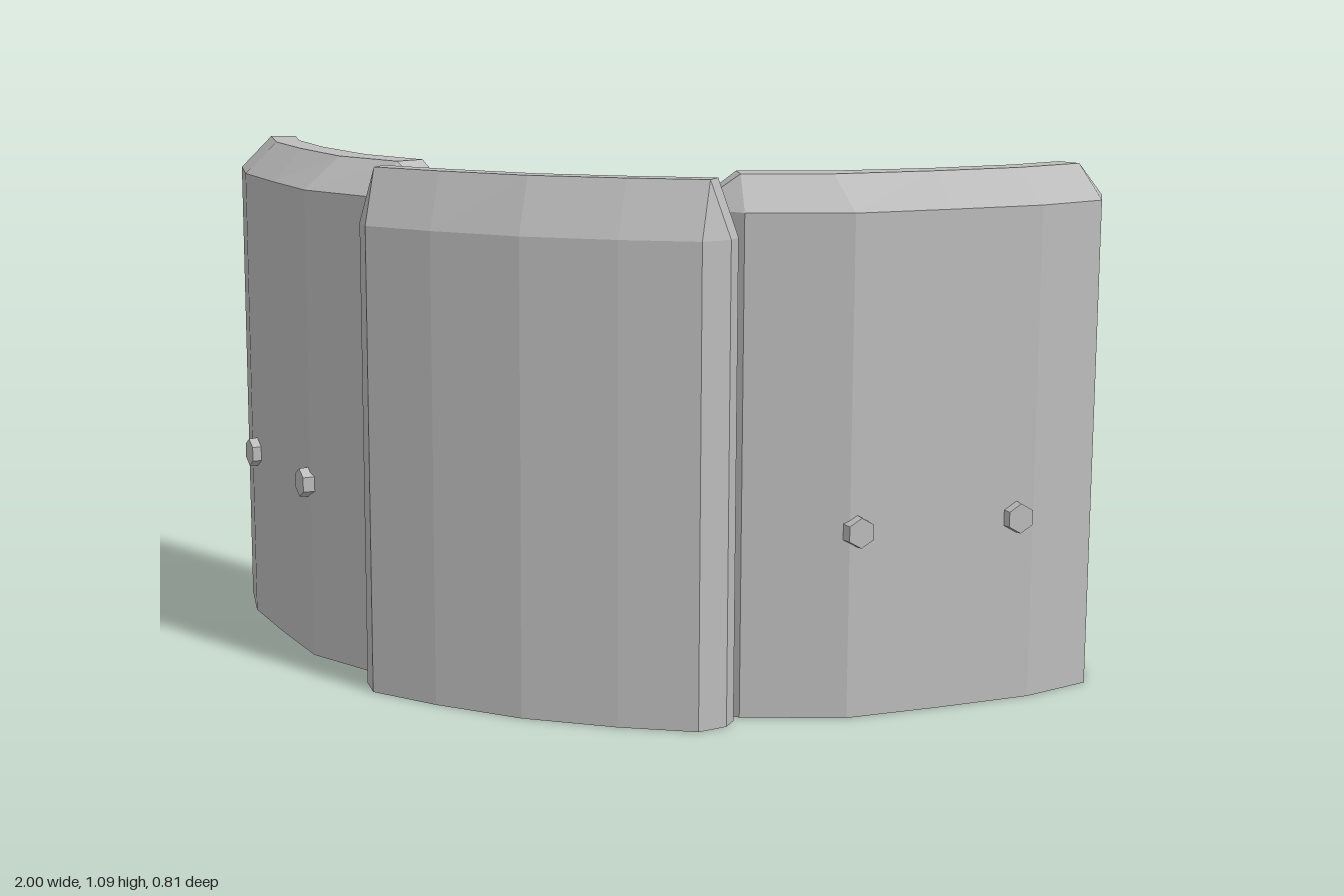
import * as THREE from 'three';

const grey = new THREE.MeshStandardMaterial({ color: 0xbcbcbc });
grey.name = 'plain grey';

// Mirror a ring of [x, z] points, keeping its winding
const mirrorRing = (ring) => ring.map(([x, z]) => [-x, z]).reverse();

// Complete a symmetric ring from its right half (first and last points on x = 0)
const fullRing = (half) => [...half, ...mirrorRing(half).slice(1, -1)];

// Flat-faced solid lofted through levels [{ y, ring }], bottom to top
function loft(levels) {
  const pos = [];
  const tri = (...pts) => {
    const [a, b, c] = pts.map((p) => new THREE.Vector3(...p));
    if (b.sub(a).cross(c.sub(a)).length() > 1e-9) pos.push(...pts.flat());
  };
  const at = ({ y, ring }, i) => {
    const [x, z] = ring[i % ring.length];
    return [x, y, z];
  };
  for (let k = 0; k < levels.length - 1; k++) {
    const low = levels[k], high = levels[k + 1];
    for (let i = 0; i < low.ring.length; i++) {
      tri(at(low, i), at(low, i + 1), at(high, i + 1));
      tri(at(low, i), at(high, i + 1), at(high, i));
    }
  }
  const cap = (level, up) => {
    const outline = level.ring.map(([x, z]) => new THREE.Vector2(x, -z));
    for (const [a, b, c] of THREE.ShapeUtils.triangulateShape(outline, [])) {
      if (up) tri(at(level, a), at(level, b), at(level, c));
      else tri(at(level, c), at(level, b), at(level, a));
    }
  };
  cap(levels[0], false);
  cap(levels[levels.length - 1], true);
  const geo = new THREE.BufferGeometry();
  geo.setAttribute('position', new THREE.Float32BufferAttribute(pos, 3));
  geo.computeVertexNormals();
  return geo;
}

function addMesh(parent, name, geo) {
  const mesh = new THREE.Mesh(geo, grey);
  mesh.name = name;
  parent.add(mesh);
  return mesh;
}

export function createModel() {
  const model = new THREE.Group();
  model.name = 'curvedArmourPlates';

  // Centre plate: front curve, chamfered end, back curve
  const body = fullRing([[0, 0.403], [0.2, 0.385], [0.36, 0.353], [0.4, 0.3],
    [0.4, 0.257], [0.2, 0.295], [0, 0.315]]);
  const crown = fullRing([[0, 0.36], [0.2, 0.34], [0.36, 0.31], [0.36, 0.31],
    [0.36, 0.265], [0.2, 0.295], [0, 0.315]]);
  addMesh(model, 'centrePlate', loft([
    { y: 0, ring: body }, { y: 0.975, ring: body }, { y: 1.09, ring: crown }]));

  // Side plates: outer curve, then inner curve back to the start
  const outer = [[0.28, 0.198], [0.404, 0.233], [0.605, 0.155], [0.76, 0.015],
    [0.91, -0.13], [1.0, -0.27], [0.98, -0.375]];
  const inner = [[0.94, -0.403], [0.826, -0.23], [0.69, -0.09], [0.516, 0.045], [0.26, 0.152]];
  const innerFoot = [[0.96, -0.385], [0.85, -0.205], [0.715, -0.065], [0.535, 0.075], [0.27, 0.178]];
  const top = [[0.375, 0.175], [0.375, 0.175], [0.545, 0.107], [0.71, -0.03],
    [0.85, -0.168], [0.943, -0.31], [0.943, -0.31],
    [0.895, -0.34], [0.826, -0.23], [0.69, -0.09], [0.516, 0.045], [0.345, 0.116]];

  for (const side of [1, -1]) {
    const word = side > 0 ? 'left' : 'right';
    const place = (ring) => (side > 0 ? ring : mirrorRing(ring));
    addMesh(model, word + 'Plate', loft([
      { y: 0, ring: place([...outer, ...innerFoot]) },
      { y: 0.04, ring: place([...outer, ...inner]) },
      { y: 1.02, ring: place([...outer, ...inner]) },
      { y: 1.09, ring: place(top) }]));

    // Hexagonal bolts standing on the outer face
    for (const [name, x, z] of [['InnerBolt', 0.617, 0.144], ['OuterBolt', 0.881, -0.102]]) {
      const geo = new THREE.CylinderGeometry(0.031, 0.034, 0.04, 6).toNonIndexed();
      geo.computeVertexNormals();
      geo.rotateX(Math.PI / 2);
      const bolt = addMesh(model, word + name, geo);
      bolt.position.set(side * x, 0.385, z);
      bolt.rotation.y = side * Math.atan2(0.69, 0.73);
    }
  }
  return model;
}
